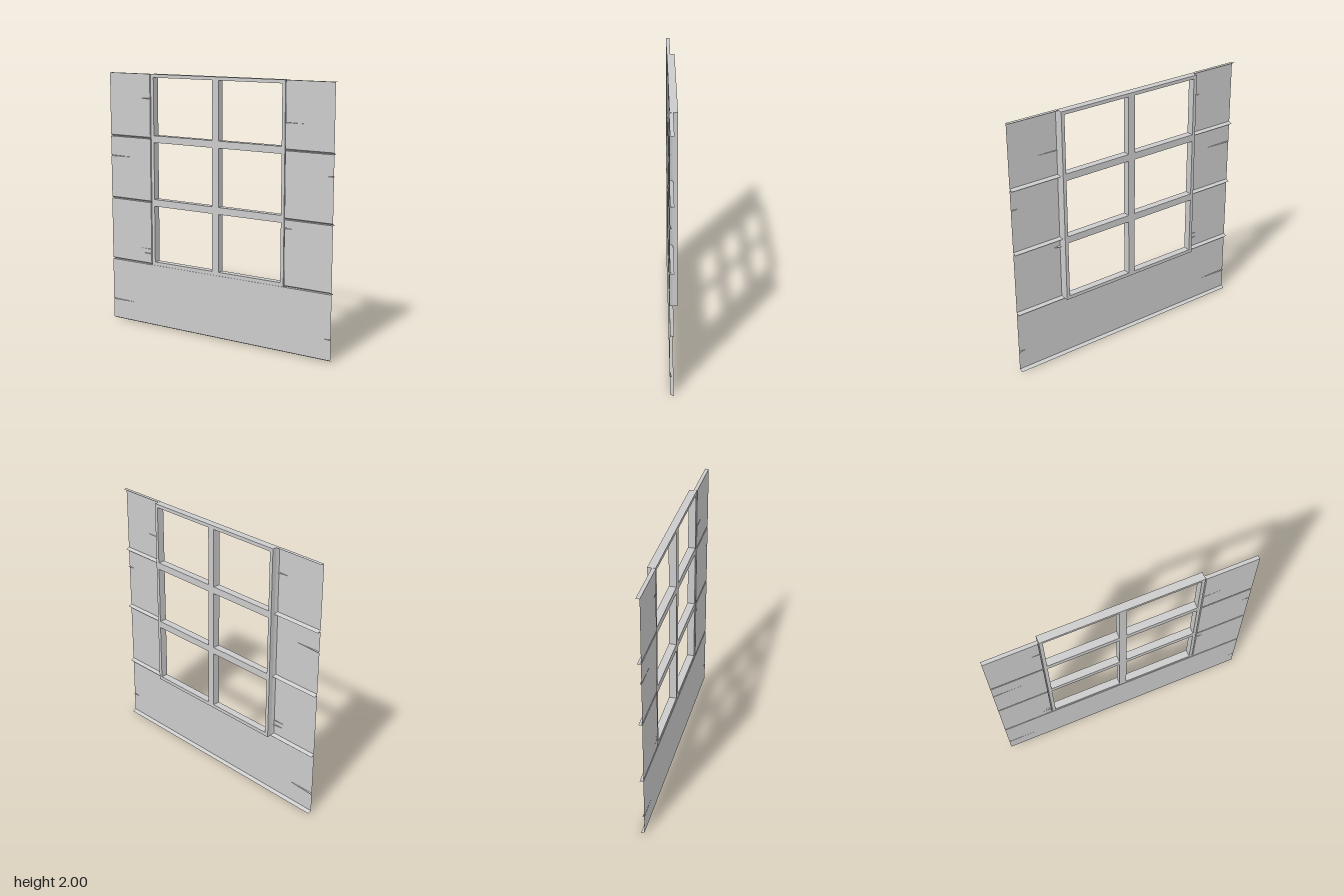
import * as THREE from 'three';

const FRONT = 0.03, BACK = 0.002, DROP = 0.013, TAPER = 0.009;
const sheetMaterial = new THREE.MeshStandardMaterial({ color: 0xcccccc, side: THREE.DoubleSide, flatShading: true });
const solidMaterial = new THREE.MeshStandardMaterial({ color: 0xcccccc, flatShading: true });

// Flat-shaded sheet from a list of three- or four-cornered faces
function facesMesh(name, faces) {
  const pos = [];
  for (const [a, b, c, d] of faces) {
    pos.push(...a, ...b, ...c);
    if (d) pos.push(...a, ...c, ...d);
  }
  const geometry = new THREE.BufferGeometry();
  geometry.setAttribute('position', new THREE.Float32BufferAttribute(pos, 3));
  geometry.computeVertexNormals();
  return new THREE.Mesh(geometry, sheetMaterial);
}

// Board: open-ended shell with a top ledge, a bevelled bottom and split ends.
// Each crack is { right, y, length, half, depth }, opening at the left or right end.
function board(name, xL, xR, y0, y1, taperL, taperR, cracks) {
  const group = new THREE.Group();
  group.name = name;
  const fL = xL + taperL, fR = xR - taperR, yb = y0 + DROP;

  // Front face outline, notched by the cracks
  const notch = (c, dir) => {
    const x = c.right ? fR : fL, tip = c.right ? x - c.length : x + c.length;
    return [[x, c.y - dir * c.half], [tip, c.y], [x, c.y + dir * c.half]];
  };
  const side = right => cracks.filter(c => c.right === right).sort((a, b) => right ? a.y - b.y : b.y - a.y);
  const outline = [
    [fL, yb], [fR, yb],
    ...side(true).flatMap(c => notch(c, 1)),
    [fR, y1], [fL, y1],
    ...side(false).flatMap(c => notch(c, -1)),
  ];
  const shape = new THREE.Shape(outline.map(p => new THREE.Vector2(...p)));
  const face = new THREE.Mesh(new THREE.ShapeGeometry(shape).translate(0, 0, FRONT), sheetMaterial);
  face.name = name + 'Face';
  group.add(face);

  // Ledge, bottom bevel and the bevels beside the window
  const edges = [
    [[fL, y1, FRONT], [fR, y1, FRONT], [xR, y1, BACK], [xL, y1, BACK]],
    [[xL, y0, BACK], [xR, y0, BACK], [fR, yb, FRONT], [fL, yb, FRONT]],
  ];
  if (taperL) edges.push([[xL, y0, BACK], [fL, yb, FRONT], [fL, y1, FRONT], [xL, y1, BACK]]);
  if (taperR) edges.push([[fR, yb, FRONT], [xR, y0, BACK], [xR, y1, BACK], [fR, y1, FRONT]]);
  const edgeMesh = facesMesh(name, edges);
  edgeMesh.name = name + 'Edges';
  group.add(edgeMesh);

  // V-shaped grooves inside the cracks
  const grooves = cracks.flatMap(c => {
    const [low, tip, high] = notch(c, 1).map(p => [...p, FRONT]);
    const deep = [low[0], c.y, FRONT - c.depth];
    return c.right ? [[low, deep, tip], [tip, deep, high]] : [[low, tip, deep], [tip, high, deep]];
  });
  if (grooves.length) {
    const mesh = facesMesh(name, grooves);
    mesh.name = name + 'Cracks';
    group.add(mesh);
  }
  return group;
}

function rectPath(path, x0, y0, x1, y1) {
  path.moveTo(x0, y0);
  path.lineTo(x1, y0);
  path.lineTo(x1, y1);
  path.lineTo(x0, y1);
  path.closePath();
  return path;
}

// Window frame with two columns and three rows of openings
function windowFrame() {
  const shape = rectPath(new THREE.Shape(), -0.6, 0.5, 0.6, 2);
  for (const [x0, x1] of [[-0.574, -0.028], [0.028, 0.574]])
    for (let row = 0; row < 3; row++)
      shape.holes.push(rectPath(new THREE.Path(), x0, 0.528 + row * 0.5, x1, 0.974 + row * 0.5));
  const geometry = new THREE.ExtrudeGeometry(shape, { depth: 0.057, bevelEnabled: false }).translate(0, 0, -0.03);
  const mesh = new THREE.Mesh(geometry, solidMaterial);
  mesh.name = 'windowFrame';
  return mesh;
}

export function createModel() {
  const model = new THREE.Group();
  model.name = 'windowWall';
  const crack = (right, y, length, half = 0.004, depth = 0.012) => ({ right, y, length, half, depth });

  // Full-width board under the window
  model.add(board('lowerBoard', -1, 1, 0, 0.5, 0, 0, [crack(false, 0.168, 0.23), crack(true, 0.168, 0.06)]));

  // Three short boards on each side of the window, bottom to top
  const rightSide = [
    [crack(true, 0.59, 0.085), crack(true, 0.627, 0.1, 0.002, 0.008)],
    [crack(false, 1.345, 0.22)],
    [crack(true, 1.812, 0.085)],
  ];
  const leftSide = [
    [crack(false, 0.937, 0.06, 0.005, 0.022)],
    [crack(true, 1.345, 0.06)],
    [crack(false, 1.7, 0.17, 0.002, 0.008)],
  ];
  for (let i = 0; i < 3; i++) {
    const y = 0.5 + i * 0.5;
    model.add(board('rightBoard' + (i + 1), -1, -0.598, y, y + 0.5, 0, TAPER, rightSide[i]));
    model.add(board('leftBoard' + (i + 1), 0.598, 1, y, y + 0.5, TAPER, 0, leftSide[i]));
  }

  model.add(windowFrame());
  return model;
}
